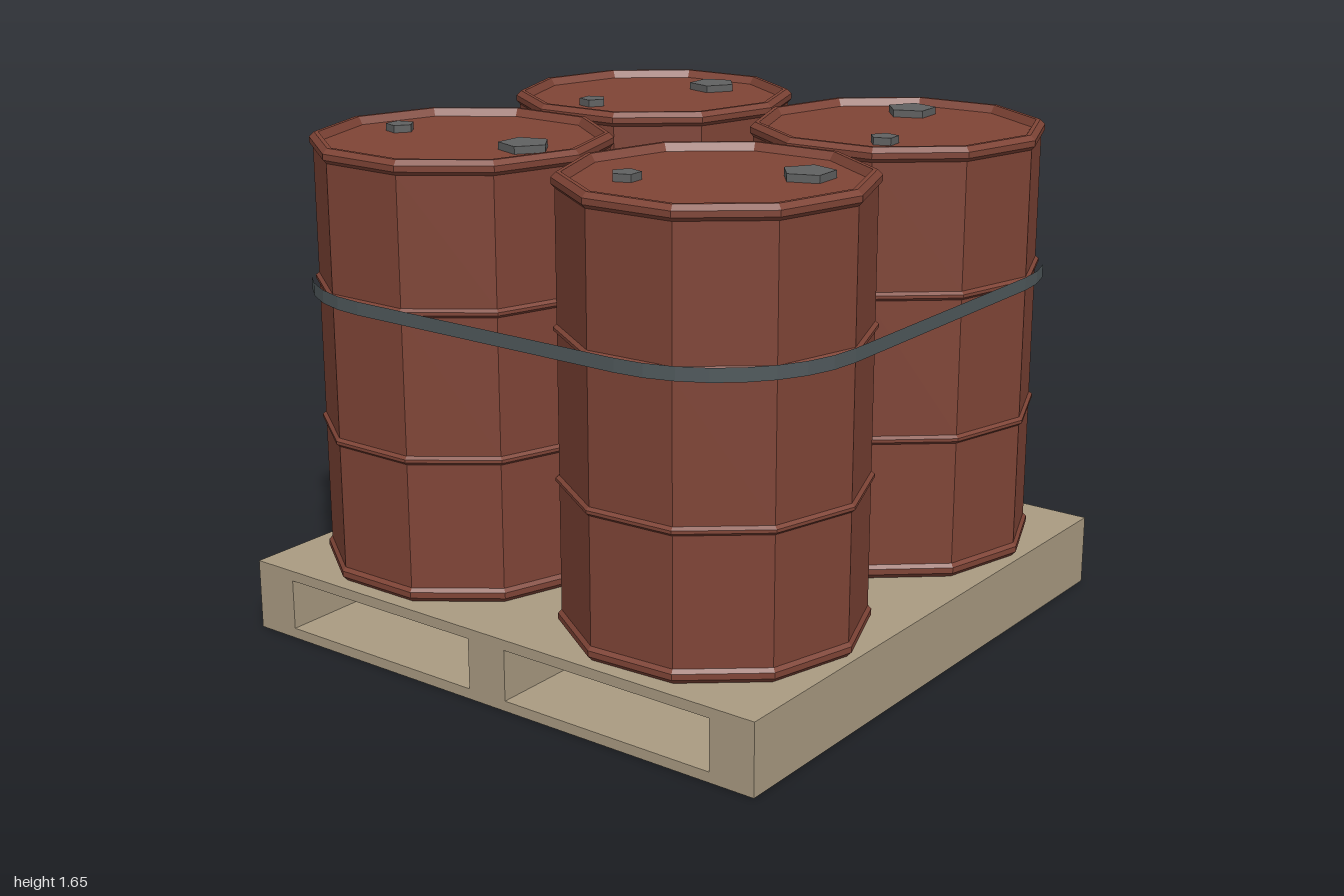
import * as THREE from 'three';

const mat = (color) => new THREE.MeshStandardMaterial({ color, flatShading: true });
const drumMat = mat(0x7f4436);
const woodMat = mat(0xaa9b82);
const strapMat = mat(0x50595c);
const bungMat = mat(0x606161);

const DECK = 0.236; // top of the pallet

function add(parent, name, geometry, material, x = 0, y = 0, z = 0) {
  const mesh = new THREE.Mesh(geometry, material);
  mesh.name = name;
  mesh.position.set(x, y, z);
  parent.add(mesh);
  return mesh;
}

// Pallet: two solid boards held apart by three runners
function createPallet() {
  const pallet = new THREE.Group();
  pallet.name = 'pallet';
  const board = 0.034;
  const gap = DECK - 2 * board;
  add(pallet, 'bottomBoard', new THREE.BoxGeometry(2, board, 2), woodMat, 0, board / 2);
  add(pallet, 'topBoard', new THREE.BoxGeometry(2, board, 2), woodMat, 0, DECK - board / 2);
  for (const x of [-0.922, 0, 0.922]) {
    add(pallet, 'runner', new THREE.BoxGeometry(x ? 0.156 : 0.146, gap, 2), woodMat, x, DECK / 2);
  }
  return pallet;
}

// Ten-sided drum with rolled rims, two ribs and a sunken lid with two bungs
function createDrum(x, z, degrees) {
  const drum = new THREE.Group();
  drum.name = 'drum';
  const rib = (y) => [[0.472, y - 0.014], [0.483, y - 0.005], [0.483, y + 0.005], [0.472, y + 0.014]];
  const profile = [
    [0, 0], [0.467, 0], [0.483, 0.016], [0.483, 0.035], [0.472, 0.047],
    ...rib(0.471), ...rib(0.943),
    [0.472, 1.367], [0.483, 1.379], [0.483, 1.398], [0.467, 1.414],
    [0.453, 1.414], [0.437, 1.389], [0, 1.389],
  ].map(([r, y]) => new THREE.Vector2(r, y));
  add(drum, 'drumBody', new THREE.LatheGeometry(profile, 10, Math.PI / 10), drumMat);

  const bung = (r) => new THREE.CylinderGeometry(r, r, 0.024, 5, 1, false, Math.PI / 2);
  add(drum, 'largeBung', bung(0.083), bungMat, 0.265, 1.401);
  add(drum, 'smallBung', bung(0.047), bungMat, -0.265, 1.401);

  drum.position.set(x, DECK, z);
  drum.rotation.y = THREE.MathUtils.degToRad(degrees);
  return drum;
}

// Strap: an open ring whose quarters are pushed out to the four drum centres.
// It has no thickness and only its outer face shows.
function createStrapGeometry(radius, height, steps) {
  const perCorner = steps + 1;
  const position = [];
  const index = [];
  const count = 4 * perCorner;
  for (let i = 0; i < count; i++) {
    const corner = Math.floor(i / perCorner);
    const a = (corner + (i % perCorner) / steps) * Math.PI / 2;
    const mid = (corner + 0.5) * Math.PI / 2;
    const x = 0.5 * Math.sign(Math.sin(mid)) + radius * Math.sin(a);
    const z = 0.5 * Math.sign(Math.cos(mid)) + radius * Math.cos(a);
    position.push(x, -height / 2, z, x, height / 2, z);
    const b = 2 * i;
    const n = 2 * ((i + 1) % count);
    index.push(b, n, n + 1, b, n + 1, b + 1);
  }
  const geometry = new THREE.BufferGeometry();
  geometry.setAttribute('position', new THREE.Float32BufferAttribute(position, 3));
  geometry.setIndex(index);
  geometry.computeVertexNormals();
  return geometry;
}

export function createModel() {
  const model = new THREE.Group();
  model.name = 'drumsOnPallet';
  model.add(createPallet());
  // Each drum: x, z, turn in degrees
  const drums = [[-0.5, 0.5, 0], [0.5, 0.5, 39], [-0.5, -0.5, 75], [0.5, -0.5, 112]];
  for (const d of drums) model.add(createDrum(...d));
  add(model, 'strap', createStrapGeometry(0.488, 0.043, 8), strapMat, 0, 1.178);
  return model;
}
